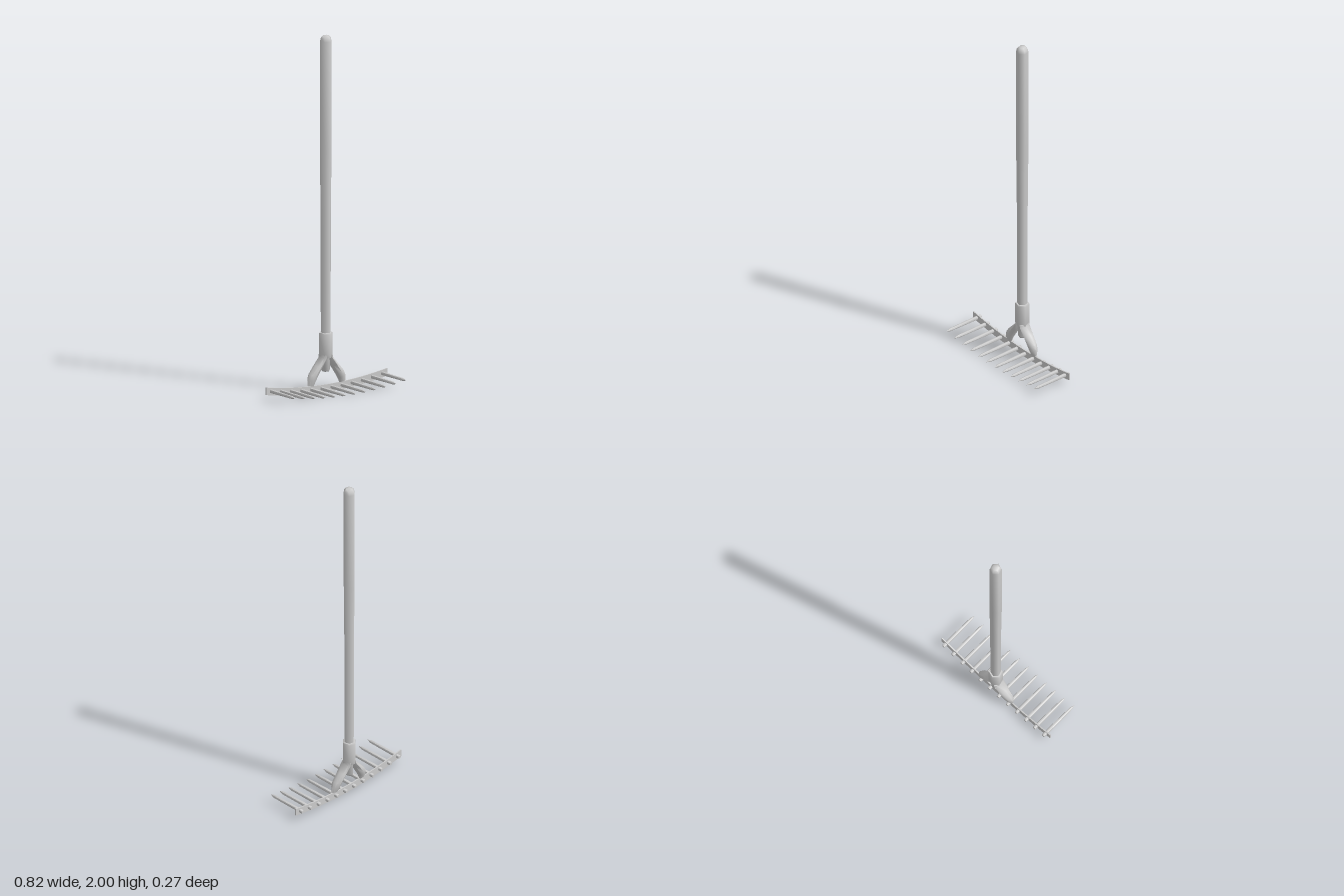
import * as THREE from 'three';
import { toCreasedNormals } from 'three/addons/utils/BufferGeometryUtils.js';

const steel = new THREE.MeshStandardMaterial({ color: 0xcccccc });
const BLADE_Z = -0.09;
const HANDLE_X = -0.001;
const HANDLE_Z = -0.096;

const bladeY = (x) => 0.021 + 0.036 * (x / 0.41) ** 2;

function part(name, geometry, parent, crease = 0.9) {
  const mesh = new THREE.Mesh(toCreasedNormals(geometry, crease), steel);
  mesh.name = name;
  parent.add(mesh);
  return mesh;
}

function turned(points, sides) {
  return new THREE.LatheGeometry(points.map(([r, y]) => new THREE.Vector2(r, y)), sides);
}

// Skins rings of equal point count, with both ends closed
function loft(rings) {
  const n = rings[0].length;
  const index = [];
  for (let i = 0; i < rings.length - 1; i++) {
    for (let j = 0; j < n; j++) {
      const a = i * n + j, b = i * n + (j + 1) % n;
      index.push(a, b, a + n, b, b + n, a + n);
    }
  }
  const last = (rings.length - 1) * n;
  for (let j = 1; j < n - 1; j++) {
    index.push(0, j + 1, j, last, last + j, last + j + 1);
  }
  const g = new THREE.BufferGeometry();
  g.setAttribute('position', new THREE.Float32BufferAttribute(rings.flat(2), 3));
  g.setIndex(index);
  return g;
}

// One arm of the fork; sections run from socket to blade:
// outer x, outer y, inner x, inner y, half depth
function armGeometry(side) {
  const sections = [
    [0.035, 0.21, 0.003, 0.21, 0.034],
    [0.036, 0.195, 0.006, 0.19, 0.034],
    [0.074, 0.155, 0.034, 0.142, 0.031],
    [0.114, 0.112, 0.064, 0.09, 0.026],
    [0.126, 0.085, 0.077, 0.066, 0.021],
    [0.128, 0.05, 0.086, 0.042, 0.009],
  ];
  const sides = 8;
  const rings = sections.map(([ox, oy, ix, iy, d], i) => {
    const t = i / (sections.length - 1);
    const z = THREE.MathUtils.lerp(HANDLE_Z, BLADE_Z, t);
    return Array.from({ length: sides }, (_, j) => {
      const a = side * (j / sides) * Math.PI * 2;
      const out = (Math.cos(a) + 1) / 2;
      return [
        side * (ix + (ox - ix) * out) + HANDLE_X * (1 - t),
        iy + (oy - iy) * out,
        z + Math.sin(a) * d,
      ];
    });
  });
  return loft(rings);
}

export function createModel() {
  const rake = new THREE.Group();
  rake.name = 'rake';

  // Long six-sided handle with rounded top
  const shaft = new THREE.Group();
  shaft.name = 'shaft';
  shaft.position.set(HANDLE_X, 0, HANDLE_Z);
  shaft.rotation.y = Math.PI / 12;
  rake.add(shaft);
  part('handle', turned([
    [0, 0.115], [0.02, 0.115], [0.024, 0.122], [0.029, 0.35], [0.03, 0.95],
    [0.034, 1.35], [0.034, 1.965], [0.03, 1.985], [0.019, 1.997], [0, 2],
  ], 6), shaft, 1.2);

  // Socket gripping the handle
  part('socket', turned([
    [0, 0.193], [0.036, 0.193], [0.04, 0.21], [0.04, 0.325], [0.037, 0.333], [0.026, 0.333],
  ], 6), shaft, 1.2);

  // Forked arms down to the blade
  part('leftArm', armGeometry(1), rake);
  part('rightArm', armGeometry(-1), rake);

  // Curved blade
  const blade = new THREE.BoxGeometry(0.82, 0.042, 0.007, 20, 1, 1);
  const p = blade.attributes.position;
  for (let i = 0; i < p.count; i++) p.setY(i, p.getY(i) + bladeY(p.getX(i)));
  part('blade', blade, rake, 0.5).position.z = BLADE_Z;

  // Row of pointed tines, driven through the blade
  const tines = new THREE.Group();
  tines.name = 'tines';
  rake.add(tines);
  const tineGeometry = turned([
    [0, -0.114], [0.009, -0.114], [0.0108, -0.108], [0.0105, -0.03], [0.0085, 0.108], [0, 0.134],
  ], 8).rotateX(Math.PI / 2);
  const count = 12;
  for (let i = 0; i < count; i++) {
    const x = -0.377 + (0.754 * i) / (count - 1);
    part('tine', tineGeometry, tines).position.set(x, bladeY(x) + 0.002, 0);
  }
  return rake;
}
